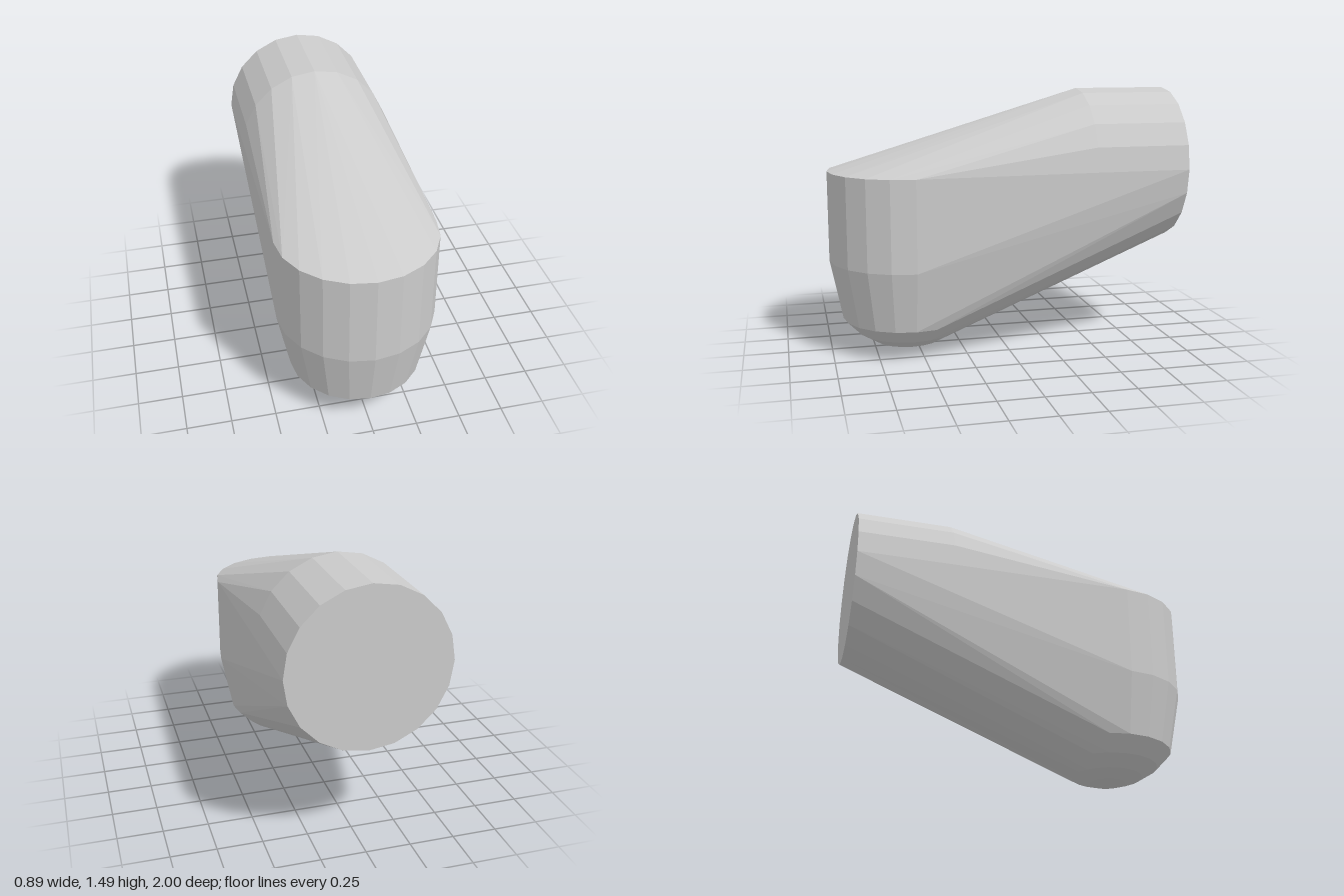
import * as THREE from 'three';
import { ConvexGeometry } from 'three/addons/geometries/ConvexGeometry.js';

const SIDES = 20;
const RADIUS = 0.443;

// Ring of points around a centre, upright (facing z) or lying flat (facing y)
function ring(radius, y, z, upright) {
  return Array.from({ length: SIDES }, (_, i) => {
    const a = (i / SIDES) * Math.PI * 2;
    const u = radius * Math.cos(a), v = radius * Math.sin(a);
    return upright ? new THREE.Vector3(u, y + v, z) : new THREE.Vector3(u, y, z + v);
  });
}

export function createModel() {
  const group = new THREE.Group();
  group.name = 'capsuleElbow';
  const frontZ = 1 - RADIUS;

  // Rear horizontal barrel and front vertical barrel
  const points = [
    ...ring(RADIUS, 1.05, -1, true),
    ...ring(RADIUS, 1.05, -0.46, true),
    ...ring(RADIUS, 1.045, frontZ, false),
    ...ring(RADIUS, 0.53, frontZ, false),
  ];

  // Tapered foot ending in a shallow spherical cap
  const capRadius = 0.47;
  for (const r of [0.373, 0.29, 0.2, 0.1]) {
    const y = capRadius - Math.sqrt(capRadius * capRadius - r * r);
    points.push(...ring(r, y, frontZ, false));
  }
  points.push(new THREE.Vector3(0, 0, frontZ));

  // Taut skin stretched over all the rings
  const body = new THREE.Mesh(
    new ConvexGeometry(points),
    new THREE.MeshStandardMaterial({ color: 0xcccccc, flatShading: true })
  );
  body.name = 'body';
  group.add(body);
  return group;
}
